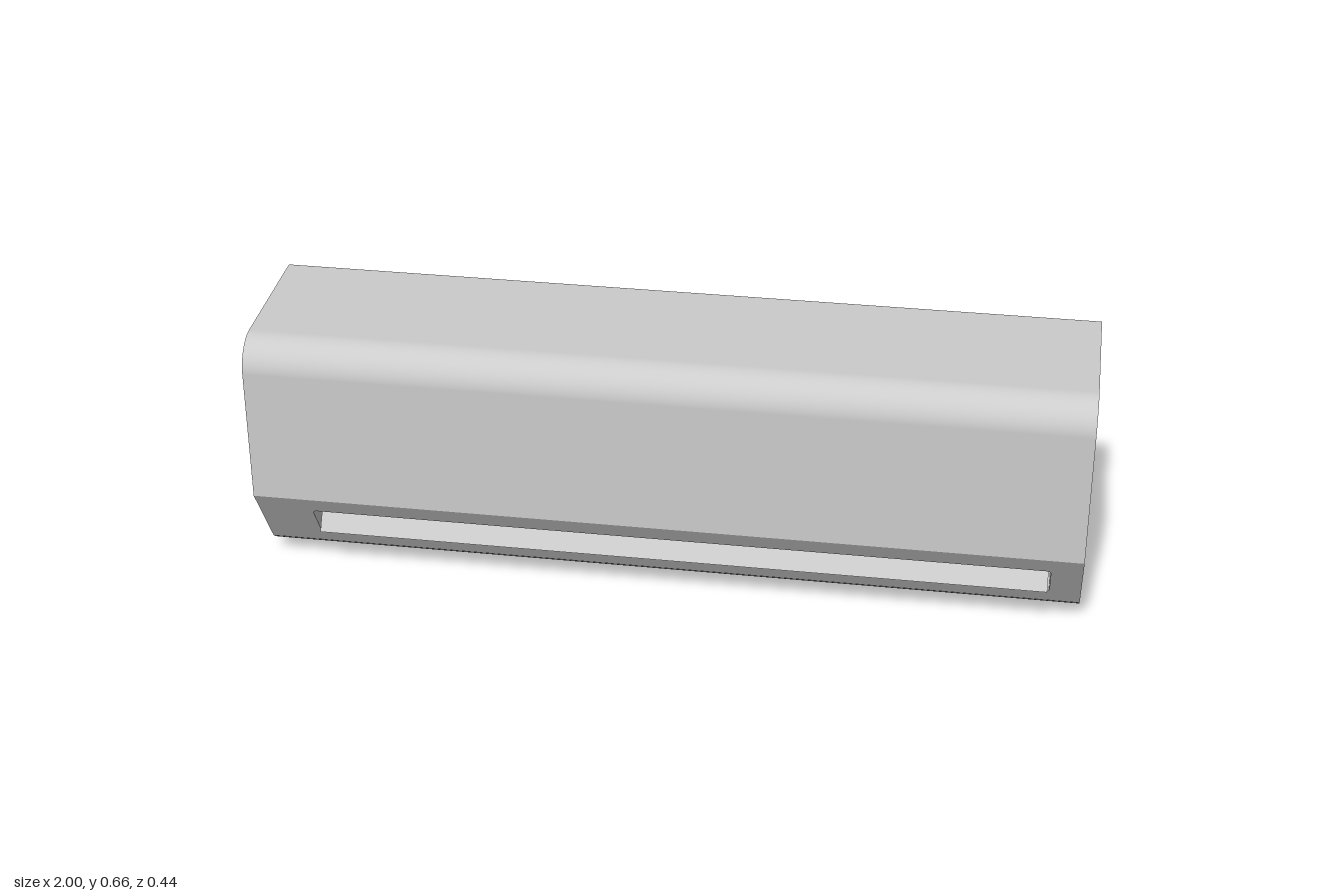
import * as THREE from 'three';

const material = new THREE.MeshStandardMaterial({ color: 0xcccccc, side: THREE.DoubleSide });

function addMesh(parent, name, geometry) {
  const mesh = new THREE.Mesh(geometry, material);
  mesh.name = name;
  parent.add(mesh);
  return mesh;
}

// Sweeps an open outline of (z, y) points along x
function sweep(points, x0, x1) {
  const geo = new THREE.PlaneGeometry(1, 1, 1, points.length - 1);
  const pos = geo.attributes.position;
  points.forEach((p, i) => {
    pos.setXYZ(2 * i, x0, p.y, p.x);
    pos.setXYZ(2 * i + 1, x1, p.y, p.x);
  });
  geo.computeVertexNormals();
  return geo;
}

function roundedRect(path, x0, y0, x1, y1, r) {
  path.moveTo(x0 + r, y0);
  path.lineTo(x1 - r, y0);
  path.quadraticCurveTo(x1, y0, x1, y0 + r);
  path.lineTo(x1, y1 - r);
  path.quadraticCurveTo(x1, y1, x1 - r, y1);
  path.lineTo(x0 + r, y1);
  path.quadraticCurveTo(x0, y1, x0, y1 - r);
  path.lineTo(x0, y0 + r);
  path.quadraticCurveTo(x0, y0, x0 + r, y0);
  return path;
}

export function createModel() {
  const group = new THREE.Group();
  group.name = 'wallAirConditioner';

  // Side profile in (z, y): bottom of the slanted face, underside, back, top, front
  const low = { z: 0.098, y: 0.055 }, high = { z: 0.22, y: 0.245 };
  const profile = new THREE.Shape();
  profile.moveTo(low.z, low.y);
  profile.quadraticCurveTo(0.04, 0.003, -0.035, 0);
  profile.lineTo(-0.2, 0);
  profile.absarc(-0.2, 0.02, 0.02, -Math.PI / 2, -Math.PI, true);
  profile.lineTo(-0.22, 0.64);
  profile.absarc(-0.2, 0.64, 0.02, Math.PI, Math.PI / 2, true);
  profile.lineTo(0.142, 0.66);
  profile.absarc(0.142, 0.582, 0.078, Math.PI / 2, 0, true);
  profile.lineTo(high.z, high.y);
  const points = profile.getPoints(12);
  addMesh(group, 'housing', sweep(points, -1, 1));

  // Flat ends
  for (const side of [-1, 1]) {
    const cap = addMesh(group, side > 0 ? 'leftEnd' : 'rightEnd', new THREE.ShapeGeometry(profile, 12));
    cap.rotation.y = -Math.PI / 2;
    cap.position.x = side;
  }

  // Slanted face with the outlet slot; local y runs up the slope
  const outlet = new THREE.Group();
  outlet.name = 'outlet';
  outlet.position.set(0, low.y, low.z);
  outlet.rotation.x = Math.atan2(high.z - low.z, high.y - low.y);
  group.add(outlet);
  const slope = Math.hypot(high.z - low.z, high.y - low.y);
  const slot = [-0.865, 0.05, 0.925, 0.166, 0.012], depth = 0.06;

  const face = new THREE.Shape();
  face.moveTo(-1, 0);
  face.lineTo(1, 0);
  face.lineTo(1, slope);
  face.lineTo(-1, slope);
  face.holes.push(roundedRect(new THREE.Path(), ...slot));
  addMesh(outlet, 'slantedFace', new THREE.ShapeGeometry(face, 4));

  // Slot walls and back
  const opening = roundedRect(new THREE.Shape(), ...slot);
  const rim = opening.getPoints(4);
  const wall = new THREE.PlaneGeometry(1, 1, rim.length - 1, 1);
  rim.forEach((p, i) => {
    wall.attributes.position.setXYZ(i, p.x, p.y, -depth);
    wall.attributes.position.setXYZ(i + rim.length, p.x, p.y, 0);
  });
  const walls = wall.toNonIndexed();
  walls.computeVertexNormals();
  addMesh(outlet, 'slotWalls', walls);
  addMesh(outlet, 'slotBack', new THREE.ShapeGeometry(opening, 4)).position.z = -depth;

  // Tilted air flap
  const flap = addMesh(group, 'flap', new THREE.BoxGeometry(1.78, 0.051, 0.006));
  flap.position.set(0.03, 0.134, 0.139);
  flap.rotation.x = -0.56;

  return group;
}
